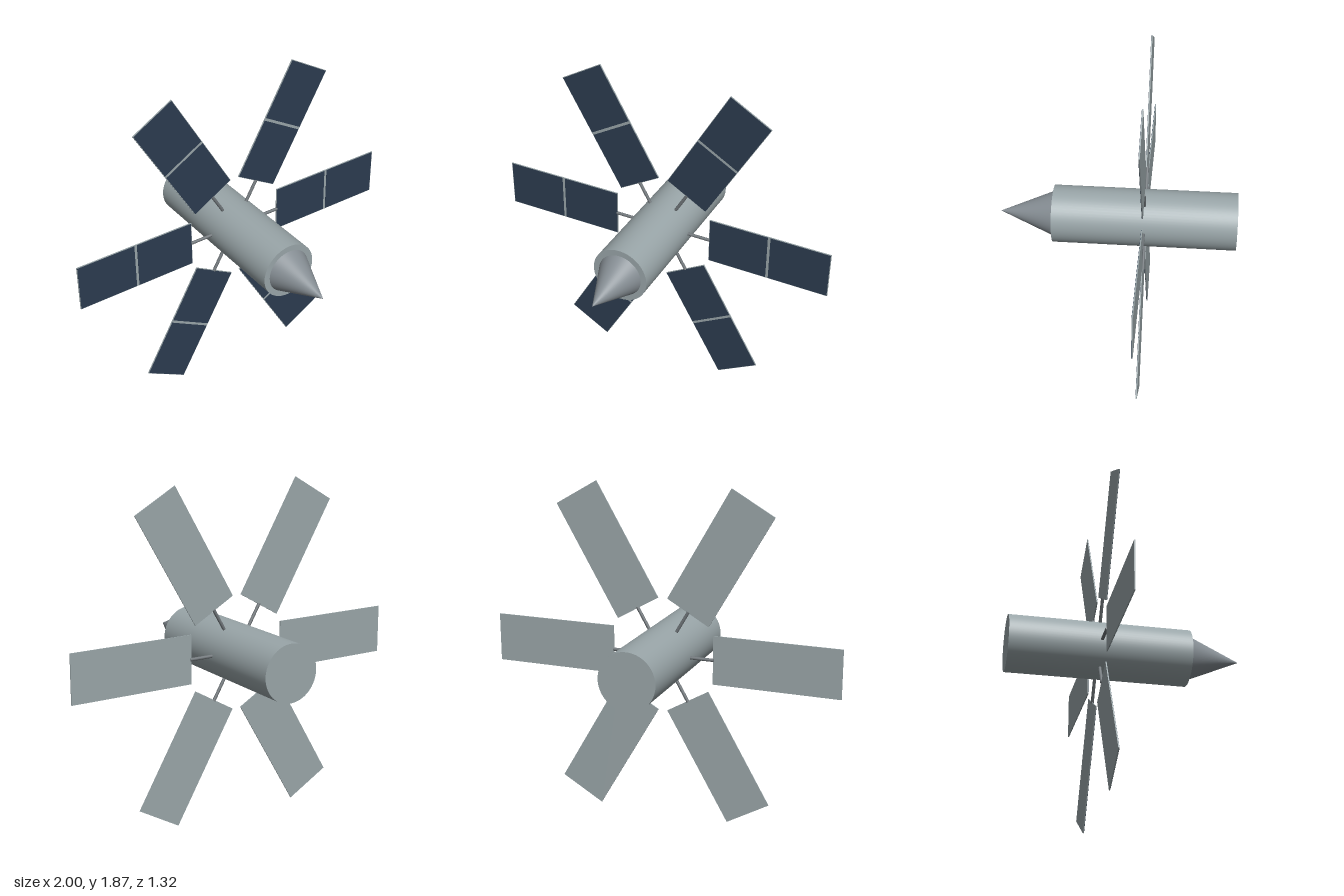
import * as THREE from 'three';

const material = (name, color) => new THREE.MeshStandardMaterial({ name, color });

export function createModel() {
  const hullGrey = material('hull grey', 0x99a5a8);
  const noseGrey = material('nose grey', 0x868e94);
  const strutGrey = material('strut grey', 0x70767a);
  const cellBlue = material('solar cell blue', 0x2c3b4f);

  const model = new THREE.Group();
  model.name = 'satellite';
  const centerY = 0.936;

  const add = (parent, name, geometry, mat, x, y, z) => {
    const mesh = new THREE.Mesh(geometry, mat);
    mesh.name = name;
    mesh.position.set(x, y, z);
    parent.add(mesh);
    return mesh;
  };

  // Cylindrical hull and pointed nose along z
  const hull = new THREE.CylinderGeometry(0.16, 0.16, 1.02, 64).rotateX(Math.PI / 2);
  add(model, 'hull', hull, hullGrey, 0, centerY, -0.15);
  const nose = new THREE.ConeGeometry(0.126, 0.3, 64).rotateX(Math.PI / 2);
  add(model, 'noseCone', nose, noseGrey, 0, centerY, 0.51);

  // Six solar wings spread around the hull
  const strut = new THREE.CylinderGeometry(0.009, 0.009, 0.19, 16).rotateZ(Math.PI / 2);
  const panel = new THREE.BoxGeometry(0.71, 0.274, 0.006);
  const cell = new THREE.BoxGeometry(0.344, 0.268, 0.002);
  for (let i = 0; i < 6; i++) {
    const wing = new THREE.Group();
    wing.name = `solarWing${i + 1}`;
    wing.position.set(0, centerY, -0.15);
    wing.rotation.z = (i * Math.PI) / 3;
    add(wing, 'strut', strut, strutGrey, 0.2, 0, 0);
    add(wing, 'panelBacking', panel, hullGrey, 0.645, 0, 0);
    // Two cell faces leave a thin divider and border of the backing visible
    for (const side of [-1, 1]) {
      add(wing, 'solarCells', cell, cellBlue, 0.645 + side * 0.18, 0, 0.0035);
    }
    model.add(wing);
  }
  return model;
}
